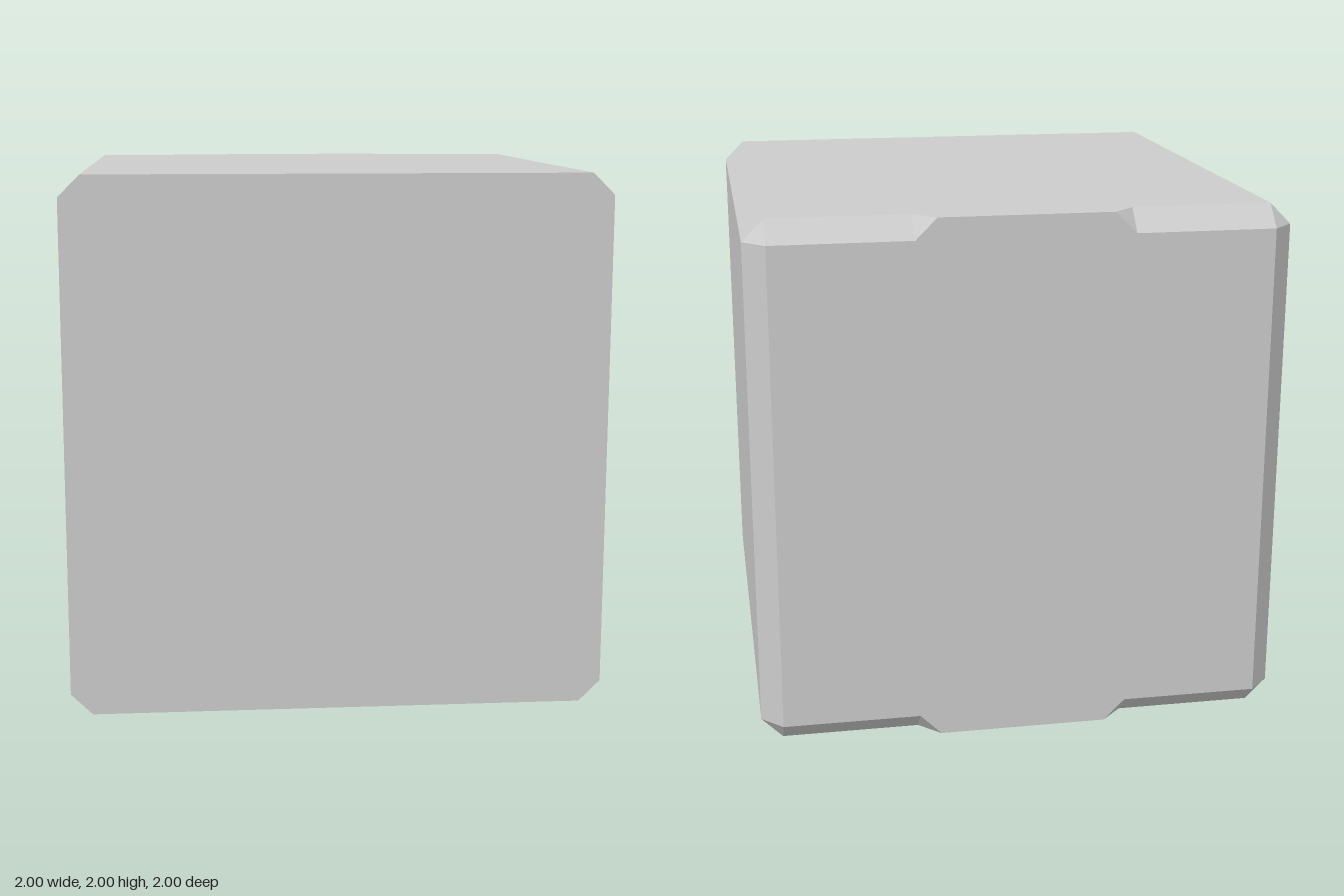
import * as THREE from 'three';

// Unit block centred on the origin; one quarter (x >= 0, y >= 0) as polygons,
// each fanned from its first corner and wound counter-clockwise from outside.
const a = 0.92;  // where the bevels start
const n = 0.4;   // outer end of the unbevelled middle tab
const t = 0.32;  // tip of the tab
const quarter = [
  // front
  [[0, 0, 1], [1, 0, 1], [1, a, 1], [a, 1, 1], [0, 1, 1]],
  // side
  [[1, 0, 1], [1, 0, -a], [1, a, -a], [1, a, 1]],
  // top, reaching out to the tab
  [[n, 1, -a], [t, 1, -1], [0, 1, -1], [0, 1, 1], [a, 1, 1], [a, 1, -a]],
  // back, reaching up to the tab
  [[n, a, -1], [a, a, -1], [a, 0, -1], [0, 0, -1], [0, 1, -1], [t, 1, -1]],
  // long side bevel
  [[1, a, 1], [1, a, -a], [a, 1, -a], [a, 1, 1]],
  // upright back bevel
  [[a, 0, -1], [a, a, -1], [1, a, -a], [1, 0, -a]],
  // back edge bevel
  [[n, a, -1], [n, 1, -a], [a, 1, -a], [a, a, -1]],
  // corner facet
  [[a, 1, -a], [1, a, -a], [a, a, -1]],
  // slanted end of the tab
  [[n, 1, -a], [n, a, -1], [t, 1, -1]],
];

function bevelledBlockGeometry() {
  const positions = [];
  for (const sx of [1, -1]) {
    for (const sy of [1, -1]) {
      for (const face of quarter) {
        const p = face.map(([x, y, z]) => [x * sx, y * sy, z]);
        if (sx * sy < 0) p.reverse(); // a single mirroring flips the winding
        // keep the fan starting at the same corner after reversing
        if (sx * sy < 0) p.unshift(p.pop());
        for (let i = 1; i < p.length - 1; i++) positions.push(...p[0], ...p[i], ...p[i + 1]);
      }
    }
  }
  const geometry = new THREE.BufferGeometry();
  geometry.setAttribute('position', new THREE.Float32BufferAttribute(positions, 3));
  geometry.computeVertexNormals();
  return geometry;
}

export function createModel() {
  const group = new THREE.Group();
  group.name = 'bevelledCube';
  const material = new THREE.MeshStandardMaterial({ color: 0xcccccc, flatShading: true });
  const block = new THREE.Mesh(bevelledBlockGeometry(), material);
  block.name = 'block';
  block.position.y = 1;
  group.add(block);
  return group;
}
